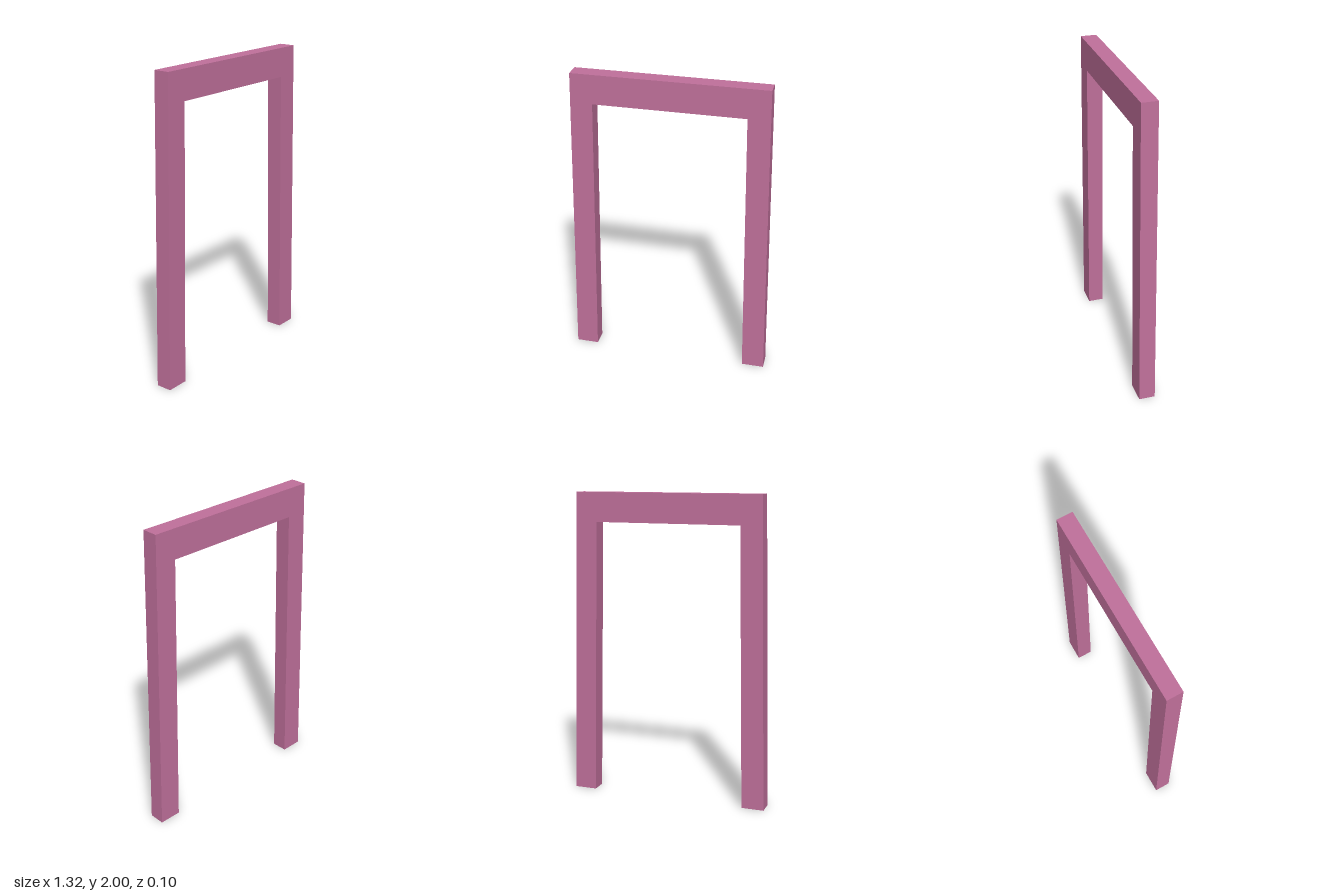
import * as THREE from 'three';

export function createModel() {
  const group = new THREE.Group();
  group.name = 'archFrame';
  const depth = 0.104;

  // Right half of the outline, from the outer top corner down the splayed leg to the lintel
  const half = [[0.617, 2], [0.662, 0], [0.516, 0], [0.48, 1.81]];
  const mirrored = half.map(([x, y]) => [-x, y]).reverse();
  const outline = [...half, ...mirrored].map(([x, y]) => new THREE.Vector2(x, y));

  // Two legs and lintel as one solid frame
  const geometry = new THREE.ExtrudeGeometry(new THREE.Shape(outline), { depth, bevelEnabled: false });
  geometry.translate(0, 0, -depth / 2);
  const frame = new THREE.Mesh(
    geometry,
    new THREE.MeshStandardMaterial({ color: 0xc0709b, flatShading: true })
  );
  frame.name = 'legsAndLintel';
  group.add(frame);
  return group;
}
